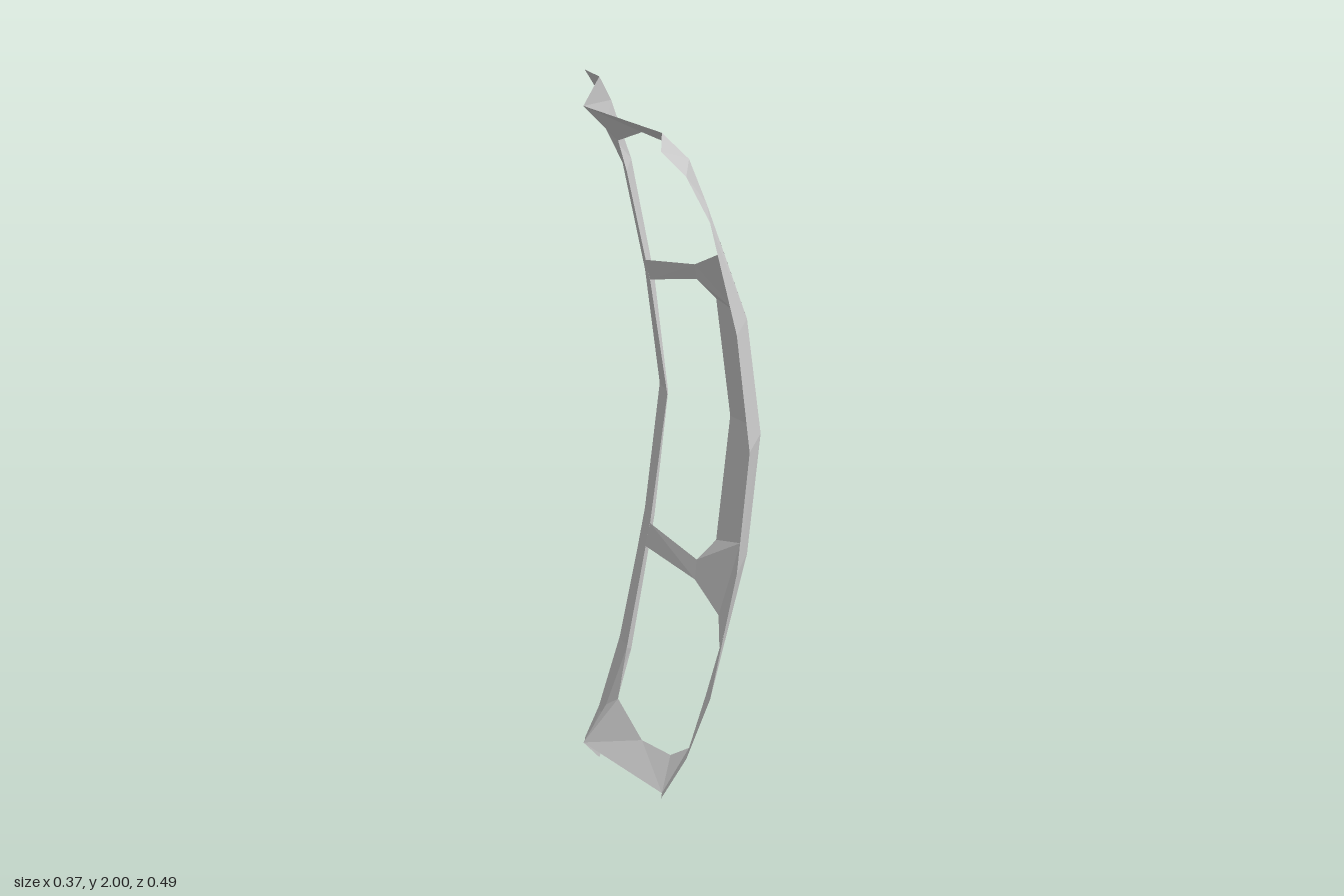
import * as THREE from 'three';

const material = new THREE.MeshStandardMaterial({
  color: 0xcccccc, flatShading: true, side: THREE.DoubleSide,
});

// Thin sheet from convex polygons (fanned), repeated as a mirror image about y = 1
function sheet(name, polygons) {
  const pos = [];
  for (const poly of polygons) {
    for (let i = 1; i < poly.length - 1; i++) {
      const tri = [poly[0], poly[i], poly[i + 1]];
      for (const p of tri) pos.push(...p);
      for (const [x, y, z] of [tri[0], tri[2], tri[1]]) pos.push(x, 2 - y, z);
    }
  }
  const geometry = new THREE.BufferGeometry();
  geometry.setAttribute('position', new THREE.Float32BufferAttribute(pos, 3));
  geometry.computeVertexNormals();
  const mesh = new THREE.Mesh(geometry, material);
  mesh.name = name;
  return mesh;
}

// Quads between neighbouring lines of equal point count
function loft(lines) {
  const quads = [];
  for (let l = 0; l < lines.length - 1; l++) {
    const a = lines[l], b = lines[l + 1];
    for (let i = 0; i < a.length - 1; i++) quads.push([a[i], b[i], b[i + 1], a[i + 1]]);
  }
  return quads;
}

export function createModel() {
  const group = new THREE.Group();
  group.name = 'curvedFrame';

  // Front rail: lines run from the top end to the middle
  const frontEdge = [[-0.184, 1.95, 0.222], [-0.105, 1.855, 0.225], [-0.03, 1.7, 0.228],
    [0.05, 1.35, 0.237], [0.085, 1, 0.246]];
  const frontCrease = [[-0.14, 1.97, 0.163], [-0.048, 1.865, 0.157], [0.008, 1.72, 0.157],
    [0.137, 1.345, 0.16], [0.176, 1, 0.167]];
  group.add(sheet('frontRail', loft([frontEdge, frontCrease])));

  // Rear rail: inner lip, crease, outer face and folded back edge
  const rearInner = [[-0.175, 1.935, -0.148], [-0.1, 1.845, -0.15], [-0.03, 1.7, -0.155],
    [0.05, 1.35, -0.16], [0.11, 1, -0.168]];
  const rearCrease = [[-0.115, 2, -0.16], [-0.07, 1.915, -0.17], [0, 1.72, -0.177],
    [0.077, 1.35, -0.18], [0.122, 1, -0.181]];
  const rearFace = [[-0.11, 1.99, -0.23], [-0.064, 1.905, -0.23], [0.003, 1.715, -0.231],
    [0.083, 1.35, -0.232], [0.131, 1, -0.232]];
  const rearBack = [[-0.101, 1.982, -0.247], [-0.055, 1.9, -0.247], [0.012, 1.715, -0.247],
    [0.098, 1.35, -0.247], [0.142, 1, -0.247]];
  group.add(sheet('rearRail', loft([rearInner, rearCrease, rearFace, rearBack])));

  // End bridges joining the rails, with chamfered window corners
  const capFront = frontCrease[0], capRear = rearInner[0];
  const w1 = [-0.075, 1.897, 0.11], w2 = [-0.09, 1.893, 0], w3 = [-0.084, 1.82, -0.118];
  group.add(sheet('endBridges', [
    [capFront, frontCrease[1], w1],
    [capFront, w1, w2],
    [capFront, w2, capRear],
    [capRear, w2, w3],
    [capRear, w3, rearInner[1]],
    [rearInner[1], w3, rearInner[2]],
  ]));

  // Centre panel behind the front rail, tapering to the struts
  const panelCrease = [[0.147, 1.335, 0.115], [0.183, 1, 0.12]];
  const panelEdge = [[0.13, 1.355, 0.028], [0.172, 1, 0.033]];
  const taperStart = [0.05, 1.6, 0.157], taperMid = [0.08, 1.53, 0.11];
  const strutTop = [0.074, 1.463, 0.01], strutLow = [0.087, 1.412, 0];
  group.add(sheet('centrePanel', [
    ...loft([frontCrease.slice(3), panelCrease, panelEdge]),
    [frontCrease[3], taperStart, taperMid, panelCrease[0]],
    [panelCrease[0], taperMid, strutTop],
    [panelCrease[0], strutTop, strutLow, panelEdge[0]],
  ]));

  // Slim struts from the panel to the rear rail
  group.add(sheet('struts', [
    [strutTop, [0.033, 1.42, -0.16], [0.049, 1.358, -0.16], strutLow],
  ]));

  return group;
}
